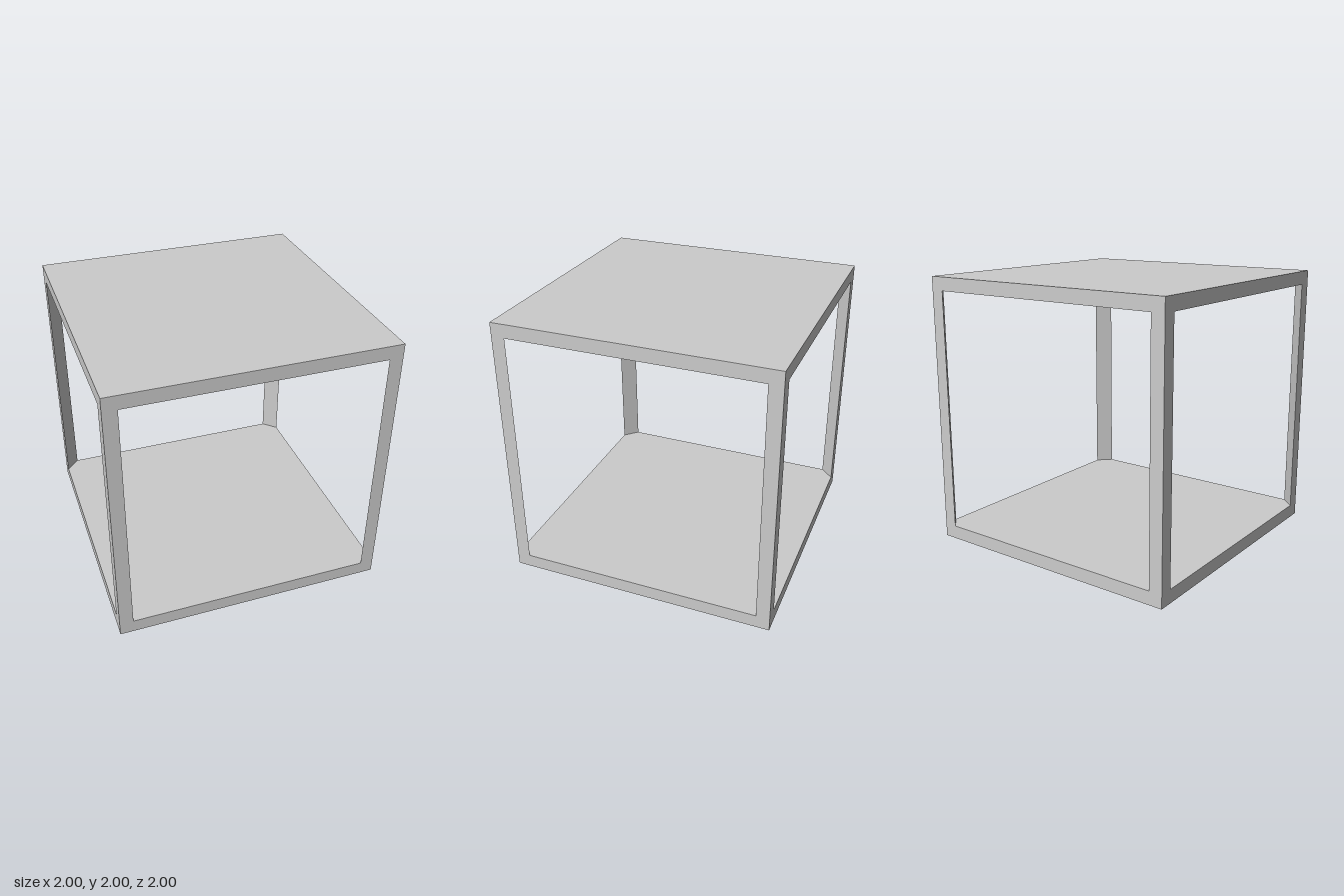
import * as THREE from 'three';

const SIZE = 2;   // outer edge of the cube
const T = 0.1;    // slab thickness and post width

export function createModel() {
  const model = new THREE.Group();
  model.name = 'openCubeFrame';
  const material = new THREE.MeshStandardMaterial({ color: 0xcccccc, flatShading: true });

  // Solid square slabs at the bottom and top
  const slabGeometry = new THREE.BoxGeometry(SIZE, T, SIZE);
  for (const [name, y] of [['bottomSlab', T / 2], ['topSlab', SIZE - T / 2]]) {
    const slab = new THREE.Mesh(slabGeometry, material);
    slab.name = name;
    slab.position.y = y;
    model.add(slab);
  }

  // Triangular corner post with a diagonal inner face
  const h = SIZE / 2;
  const section = new THREE.Shape([
    new THREE.Vector2(h, -h),
    new THREE.Vector2(h, -h + T),
    new THREE.Vector2(h - T, -h),
  ]);
  const postGeometry = new THREE.ExtrudeGeometry(section, { depth: SIZE - 2 * T, bevelEnabled: false });
  postGeometry.rotateX(-Math.PI / 2);

  // One post per corner, turned about the vertical axis
  ['frontLeftPost', 'backLeftPost', 'backRightPost', 'frontRightPost'].forEach((name, i) => {
    const post = new THREE.Mesh(postGeometry, material);
    post.name = name;
    post.position.y = T;
    post.rotation.y = i * Math.PI / 2;
    model.add(post);
  });

  return model;
}
